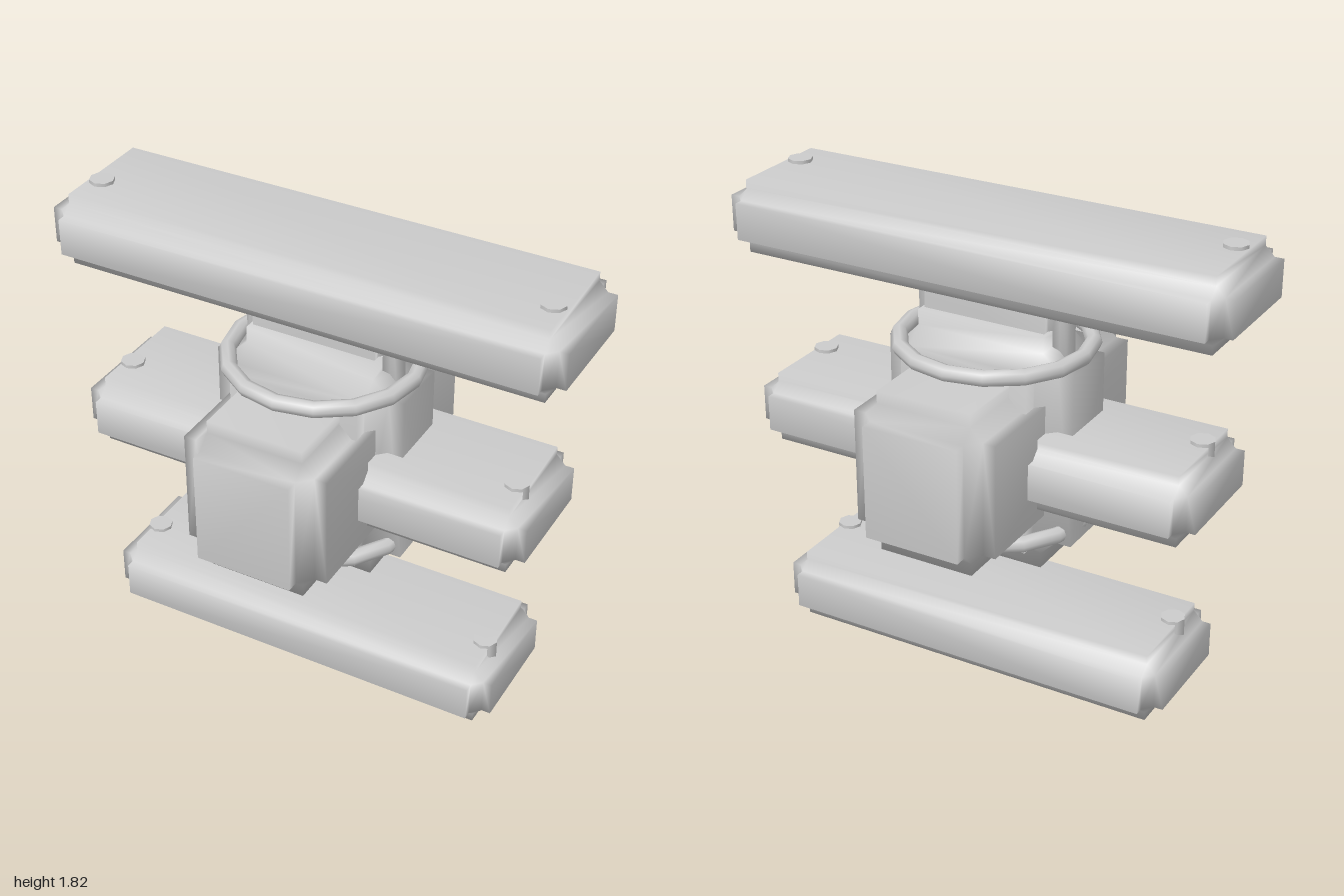
import * as THREE from 'three';
import { mergeVertices } from 'three/addons/utils/BufferGeometryUtils.js';

const material = new THREE.MeshStandardMaterial({ color: 0xcccccc });

// Box with half sizes `half` whose edges are coved inward by r (wall, diagonal, wall)
function covedBox(half, r) {
  const inner = half.map((v) => v - r);
  const mid = half.map((v) => v - r / 2);
  const positions = [];
  const signs = [-1, 1];

  // Add a triangle, turned so that it faces along the given direction
  const tri = (a, b, c, out) => {
    const [A, B, C] = [a, b, c].map((p) => new THREE.Vector3(...p));
    const n = B.clone().sub(A).cross(C.clone().sub(A));
    const order = n.dot(new THREE.Vector3(...out)) < 0 ? [a, c, b] : [a, b, c];
    positions.push(...order.flat());
  };
  const quad = (a, b, c, d, out) => { tri(a, b, c, out); tri(a, c, d, out); };
  // Point given by its values on axes i, j and k
  const at = (i, vi, j, vj, k, vk) => {
    const p = [0, 0, 0];
    p[i] = vi; p[j] = vj; p[k] = vk;
    return p;
  };

  for (let i = 0; i < 3; i++) {
    const j = (i + 1) % 3, k = (i + 2) % 3;
    for (const s of signs) {
      // Main face
      const f = (a, b) => at(i, s * half[i], j, a * inner[j], k, b * inner[k]);
      quad(f(-1, -1), f(1, -1), f(1, 1), f(-1, 1), at(i, s, j, 0, k, 0));

      for (const t of signs) {
        // Cove walls beside the main face
        for (const [m, n] of [[j, k], [k, j]]) {
          const w = (v, e) => at(i, s * v, m, t * inner[m], n, e * inner[n]);
          quad(w(half[i], -1), w(half[i], 1), w(mid[i], 1), w(mid[i], -1), at(i, 0, m, t, n, 0));
        }
        // Diagonal strip in the cove
        const p = (e) => at(i, s * mid[i], j, t * inner[j], k, e * inner[k]);
        const q = (e) => at(i, s * inner[i], j, t * mid[j], k, e * inner[k]);
        quad(p(-1), p(1), q(1), q(-1), at(i, s, j, t, k, 0));
      }
    }
  }
  // Corner triangles
  for (const x of signs) for (const y of signs) for (const z of signs) {
    const c = [0, 1, 2].map((axis) =>
      [x, y, z].map((s, n) => s * (n === axis ? mid[n] : inner[n])));
    tri(...c, [x, y, z]);
  }

  const geometry = new THREE.BufferGeometry();
  geometry.setAttribute('position', new THREE.Float32BufferAttribute(positions, 3));
  const welded = mergeVertices(geometry, 1e-5);
  welded.computeVertexNormals();
  return welded;
}

function addPart(parent, name, geometry, x, y, z) {
  const mesh = new THREE.Mesh(geometry, material);
  mesh.name = name;
  mesh.position.set(x, y, z);
  parent.add(mesh);
  return mesh;
}

// Horizontal crossbar with a bolt through each end
function addCrossbar(parent, name, halfLength, boltX, y) {
  const bar = new THREE.Group();
  bar.name = name;
  bar.position.y = y;
  addPart(bar, 'beam', covedBox([halfLength, 0.14, 0.277], 0.07), 0, 0, 0);
  for (const side of [-1, 1]) {
    const bolt = new THREE.CylinderGeometry(0.047, 0.047, 0.306, 8);
    addPart(bar, side > 0 ? 'leftBolt' : 'rightBolt', bolt, side * boltX, 0, 0.067);
  }
  parent.add(bar);
}

export function createModel() {
  const model = new THREE.Group();
  model.name = 'model';

  // Three crossbars
  addCrossbar(model, 'topCrossbar', 1.0, 0.88, 1.669);
  addCrossbar(model, 'middleCrossbar', 0.905, 0.8, 0.915);
  addCrossbar(model, 'bottomCrossbar', 0.815, 0.72, 0.153);

  // Central body, made of two crossing blocks, and the neck under the top bar
  addPart(model, 'bodyBlock', covedBox([0.38, 0.467, 0.242], 0.123), 0, 0.942, 0);
  addPart(model, 'crossBlock', covedBox([0.286, 0.318, 0.605], 0.097), 0, 0.942, 0);
  addPart(model, 'neck', covedBox([0.306, 0.24, 0.092], 0.06), 0, 1.44, 0);

  // Rings around the body
  for (const [name, y] of [['upperRing', 1.31], ['lowerRing', 0.641]]) {
    const ring = new THREE.TorusGeometry(0.355, 0.031, 8, 16);
    ring.rotateX(Math.PI / 2);
    addPart(model, name, ring, 0, y, 0);
  }
  return model;
}
